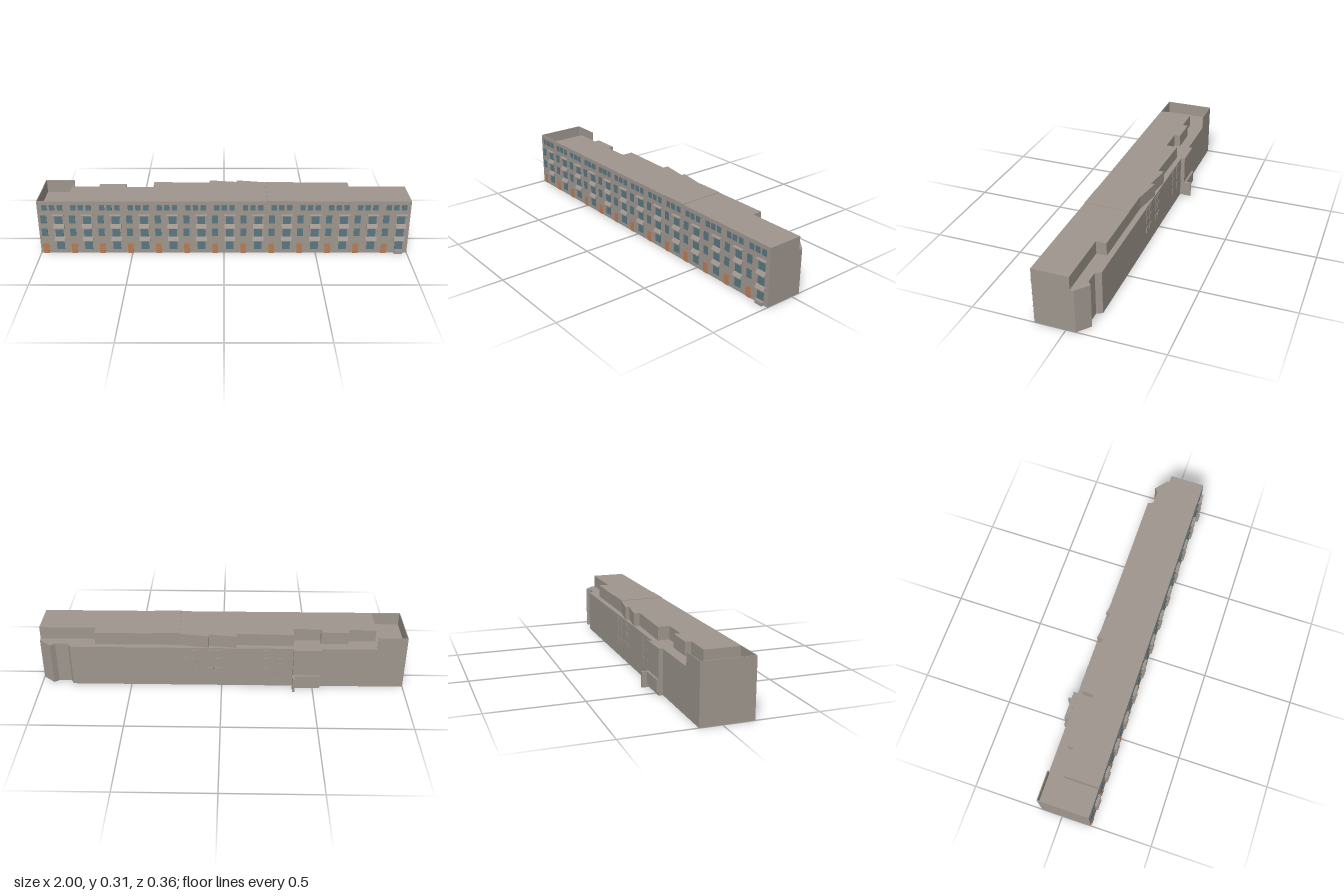
import * as THREE from 'three';

export function createModel() {
  const group = new THREE.Group();
  const paint = (name, color) => {
    const m = new THREE.MeshStandardMaterial({ color });
    m.name = name;
    return m;
  };
  const stone = paint('stone', 0x9f968e);
  const glass = paint('window glass', 0x597681);
  const wood = paint('door wood', 0xb97c54);

  const add = (name, geometry, material) => {
    const mesh = new THREE.Mesh(geometry, material);
    mesh.name = name;
    group.add(mesh);
    return mesh;
  };
  // Box given by its limits on each axis
  const block = (name, [x0, x1], [y0, y1], [z0, z1], material = stone) =>
    add(name, new THREE.BoxGeometry(x1 - x0, y1 - y0, z1 - z0), material)
      .position.set((x0 + x1) / 2, (y0 + y1) / 2, (z0 + z1) / 2);
  // Upright prism over a floor plan of [x, z] points
  const prism = (name, plan, y0, y1) => {
    const shape = new THREE.Shape(plan.map(([x, z]) => new THREE.Vector2(x, -z)));
    const g = new THREE.ExtrudeGeometry(shape, { depth: y1 - y0, bevelEnabled: false });
    g.rotateX(-Math.PI / 2).translate(0, y0, 0);
    return add(name, g, stone);
  };

  const FRONT = 0.163, BACK = -0.115, STEP = 0.24, TOP = 0.311;

  // Lower storeys, with the notched and chamfered back corner
  prism('lowerStoreys', [
    [-1, FRONT], [1, FRONT], [1, -0.05], [0.935, -0.105], [0.91, -0.085],
    [0.84, -0.085], [0.825, BACK], [-1, BACK],
  ], 0, STEP);

  // Top storey, set back in steps along the rear
  prism('topStorey', [
    [-0.84, FRONT], [1, FRONT], [1, -0.03], [0.69, -0.03], [0.69, -0.085],
    [0.23, -0.085], [0.07, -0.112], [0.07, -0.09], [-0.08, -0.112], [-0.08, -0.08],
    [-0.39, -0.088], [-0.39, -0.025], [-0.54, -0.025], [-0.54, -0.06],
    [-0.69, -0.06], [-0.69, -0.03], [-0.84, -0.03],
  ], STEP, TOP);
  block('raisedRoof', [0.23, 0.385], [TOP, 0.314], [-0.085, FRONT]);

  // Parapet walls round the open terrace at one end
  const t = 0.004;
  block('parapetFront', [-1, -0.84], [STEP, TOP], [FRONT - t, FRONT]);
  block('parapetBack', [-1, -0.84], [STEP, TOP], [BACK, BACK + t]);
  block('parapetEnd', [-1, -1 + t], [STEP, TOP], [BACK + t, FRONT - t]);

  // Rear extension with its low lean-to and fin wall
  block('rearExtension', [-0.54, -0.39], [0, 0.243], [-0.138, BACK]);
  block('leanTo', [-0.54, -0.4], [0.02, 0.085], [-0.15, -0.138]);
  block('finWall', [-0.4, -0.388], [0, 0.085], [-0.178, -0.138]);

  // Rear window surrounds
  for (const x of [0.2, 0.15, 0.06, 0.02, -0.24, -0.32]) {
    for (const y of [0.1, 0.16, 0.21]) {
      block('rearWindowSurround', [x - 0.014, x + 0.014], [y - 0.017, y + 0.017], [BACK - 0.003, BACK]);
    }
  }

  // Thin plate on the street front
  const plate = (name, x, w, y0, y1, material) =>
    block(name, [x - w / 2, x + w / 2], [y0, y1], [FRONT, FRONT + 0.003], material);

  // Ledge over a bay, from a side profile of [z, y] points
  const ledge = (x, w, profile) => {
    const shape = new THREE.Shape(profile.map(([z, y]) => new THREE.Vector2(-z, y)));
    const g = new THREE.ExtrudeGeometry(shape, { depth: w, bevelEnabled: false });
    g.rotateY(Math.PI / 2).translate(x - w / 2, 0, 0);
    add('bayLedge', g, stone);
  };

  // Thirteen house fronts
  for (let i = 0; i < 13; i++) {
    const bay = -0.89 + i * 0.1535;
    const side = bay - 0.08;

    plate('door', side, 0.03, 0, 0.058, wood);
    plate('sideWindow', side, 0.032, 0.104, 0.15, glass);
    plate('sideWindow', side, 0.032, 0.182, 0.228, glass);
    for (const dx of [-0.07, -0.03, 0.012]) plate('atticWindow', bay + dx, 0.028, 0.258, 0.29, glass);

    // Bay windows, each under a ledge
    for (const [y0, y1] of [[0.024, 0.074], [0.102, 0.15], [0.178, 0.225]]) {
      plate('bayWindow', bay, 0.042, y0, y1, glass);
    }
    ledge(bay, 0.062, [[FRONT, 0.225], [0.178, 0.229], [0.178, 0.233], [FRONT, 0.235]]);
    for (const y of [0.076, 0.152]) {
      ledge(bay, 0.058, [[FRONT, y], [0.177, y], [0.177, y + 0.005], [FRONT, y + 0.024]]);
    }
  }
  block('frontStep', [0.93, 0.975], [0, 0.02], [FRONT, 0.178]);

  return group;
}
